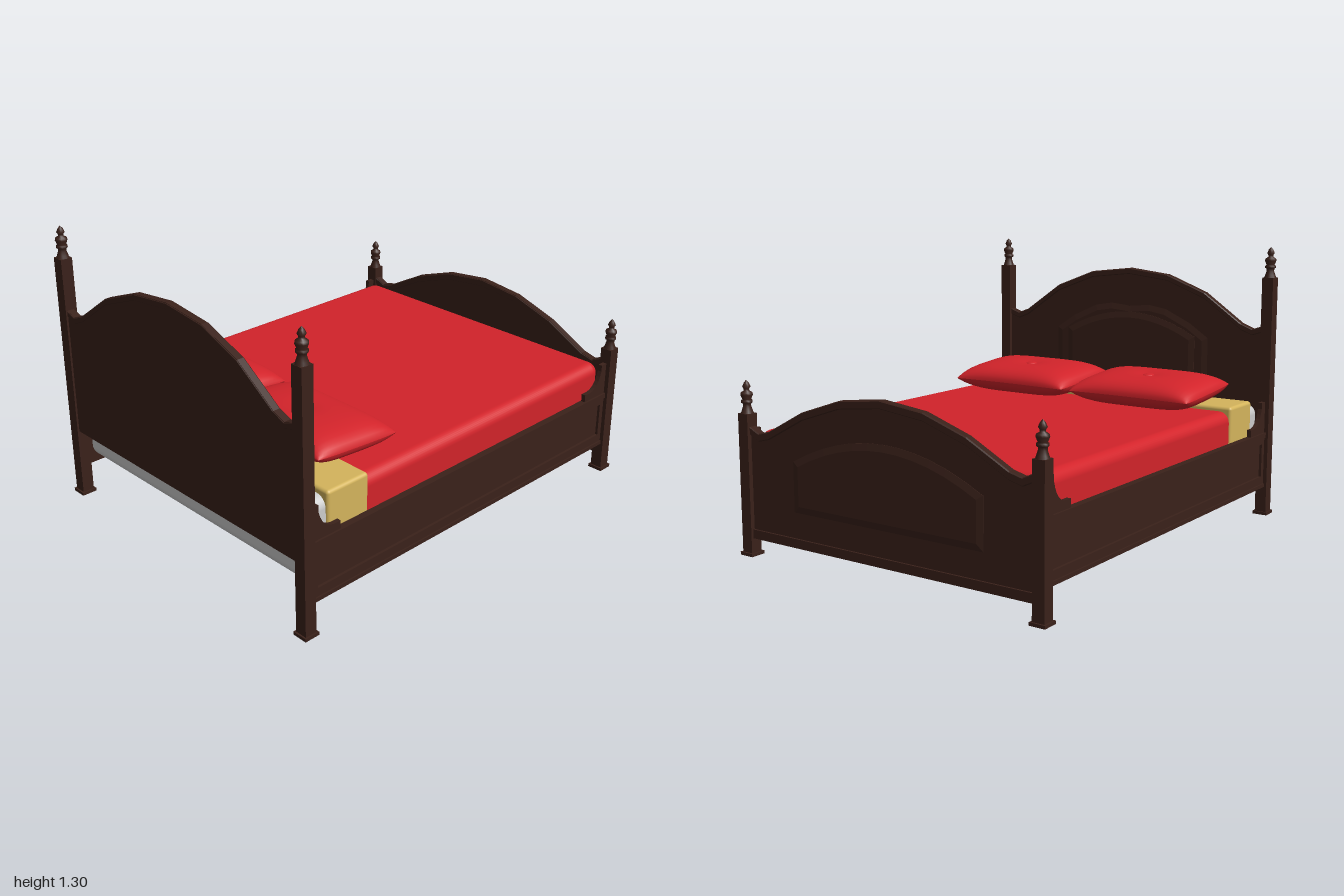
import * as THREE from 'three';
import { RoundedBoxGeometry } from 'three/addons/geometries/RoundedBoxGeometry.js';
import { mergeGeometries } from 'three/addons/utils/BufferGeometryUtils.js';

const mat = (color) => new THREE.MeshStandardMaterial({ color });
const wood = mat(0x3a211a), red = mat(0xd2232a), gold = mat(0xd4b45c), grey = mat(0xcccccc);

function add(parent, name, geometry, material, x = 0, y = 0, z = 0) {
  const mesh = new THREE.Mesh(geometry, material);
  mesh.name = name;
  mesh.position.set(x, y, z);
  parent.add(mesh);
  return mesh;
}

// Box given by its min and max along each axis
function span(parent, name, material, [x0, x1], [y0, y1], [z0, z1], radius = 0) {
  const size = [x1 - x0, y1 - y0, z1 - z0];
  const geo = radius ? new RoundedBoxGeometry(...size, 4, radius) : new THREE.BoxGeometry(...size);
  return add(parent, name, geo, material, (x0 + x1) / 2, (y0 + y1) / 2, (z0 + z1) / 2);
}

// Mirror a half outline (centre outwards) into a full line from left to right
const mirrorLine = (half) => [
  ...half.slice().reverse().map(([x, y]) => new THREE.Vector2(-x, y)),
  ...half.filter(([x]) => x > 0).map(([x, y]) => new THREE.Vector2(x, y)),
];

// Closed outline: arched top line over a straight bottom
function arched(half, bottom) {
  const line = mirrorLine(half), w = half[half.length - 1][0];
  return [...line, new THREE.Vector2(w, bottom), new THREE.Vector2(-w, bottom)];
}

// Shallow arch from the centre height down to the side height
function arch(width, side, top, n = 6) {
  return Array.from({ length: n + 1 }, (_, i) => {
    const t = i / n;
    return [width * t, side + (top - side) * (1 - t * t)];
  });
}

// Head or foot board; local z is the decorated side
function endBoard(name, { top, bottom, opening, openingBottom, panels, capDrop }) {
  const board = new THREE.Group();
  board.name = name;
  const outline = arched(top, bottom);
  const slab = (part, shape, depth, z) =>
    add(board, part, new THREE.ExtrudeGeometry(shape, { depth, bevelEnabled: false }), wood, 0, 0, z);

  slab('backing', new THREE.Shape(outline), 0.014, 0);
  const frame = new THREE.Shape(outline);
  frame.holes.push(new THREE.Path(arched(opening, openingBottom)));
  slab('frame', frame, 0.014, 0.013);

  // Raised panels with sloping borders
  panels.forEach(([half, low, z], i) => {
    const geo = new THREE.ExtrudeGeometry(new THREE.Shape(arched(half, low)),
      { depth: 0.002, bevelThickness: 0.006, bevelSize: 0.03, bevelOffset: -0.005, bevelSegments: 1 });
    add(board, 'raisedPanel' + (i + 1), geo, wood, 0, 0, z);
  });

  // Moulded cap that follows the top line
  const line = mirrorLine(top);
  const lower = line.map((p) => new THREE.Vector2(p.x, p.y - capDrop)).reverse();
  const cap = new THREE.ExtrudeGeometry(new THREE.Shape([...line, ...lower]),
    { depth: 0.028, bevelThickness: 0.005, bevelSize: 0.004, bevelOffset: -0.004, bevelSegments: 1 });
  add(board, 'cap', cap, wood, 0, 0, 0.002);
  return board;
}

// Square post with a foot block and a turned finial
function post(name, height) {
  const g = new THREE.Group();
  g.name = name;
  add(g, 'foot', new THREE.BoxGeometry(0.072, 0.014, 0.072), wood, 0, 0.007, 0);
  add(g, 'shaft', new THREE.BoxGeometry(0.056, height, 0.056), wood, 0, height / 2, 0);
  const profile = [[0.028, 0], [0.024, 0.012], [0.018, 0.03], [0.018, 0.042], [0.025, 0.046], [0.025, 0.056],
    [0.019, 0.06], [0.027, 0.08], [0.025, 0.09], [0.012, 0.098], [0.012, 0.106], [0.018, 0.116],
    [0.011, 0.132], [0, 0.145]].map(([r, y]) => new THREE.Vector2(r, y));
  add(g, 'finial', new THREE.LatheGeometry(profile, 12), wood, 0, height, 0);
  return g;
}

// Side rail, decorated towards +z
function sideRail(name) {
  const g = new THREE.Group();
  g.name = name;
  const X = [-0.94, 0.94];
  span(g, 'railBoard', wood, X, [0.14, 0.41], [0.755, 0.768]);
  span(g, 'topMoulding', wood, X, [0.385, 0.41], [0.755, 0.787]);
  span(g, 'upperBead', wood, X, [0.355, 0.388], [0.755, 0.78]);
  span(g, 'bottomMoulding', wood, X, [0.14, 0.157], [0.755, 0.787]);
  span(g, 'lowerBead', wood, X, [0.155, 0.195], [0.755, 0.78]);
  for (const s of [-1, 1]) {
    span(g, 'railEnd', wood, s < 0 ? [-0.94, -0.91] : [0.91, 0.94], [0.19, 0.36], [0.755, 0.78]);
    // Curved corner bracket above the rail
    const b = new THREE.Shape();
    b.moveTo(0.94, 0.4);
    b.lineTo(0.94, 0.56);
    b.lineTo(0.9, 0.56);
    b.lineTo(0.9, 0.53);
    b.quadraticCurveTo(0.88, 0.45, 0.82, 0.445);
    b.lineTo(0.785, 0.445);
    b.lineTo(0.785, 0.4);
    const geo = new THREE.ExtrudeGeometry(b, { depth: 0.02, bevelEnabled: false, curveSegments: 6 });
    geo.translate(0, 0, -0.01);
    add(g, 'cornerBracket', geo, wood, 0, 0, 0.768).rotation.y = s < 0 ? Math.PI : 0;
  }
  return g;
}

// Plump cushion with a seam around the middle and a buttoned dimple
function pillow(name) {
  const g = new THREE.Group();
  g.name = name;
  const half = new THREE.PlaneGeometry(2, 2, 22, 22).rotateX(-Math.PI / 2);
  const p = half.attributes.position;
  for (let i = 0; i < p.count; i++) {
    const u = Math.sin(p.getX(i) * Math.PI / 2), v = Math.sin(p.getZ(i) * Math.PI / 2);
    const puff = Math.sqrt(Math.max(0, (1 - u ** 4) * (1 - v ** 4)));
    const dimple = 0.014 * Math.exp(-(u * u + 2 * v * v) * 25);
    p.setXYZ(i, u * (0.207 + 0.01 * v * v), 0.07 * puff - dimple, v * (0.322 - 0.007 * u ** 4));
  }
  half.computeVertexNormals();
  add(g, 'cushion', mergeGeometries([half, half.clone().rotateX(Math.PI)]), red);
  add(g, 'button', new THREE.SphereGeometry(0.03, 16, 10).scale(1, 0.35, 1), red, 0, 0.058, 0);
  return g;
}

export function createModel() {
  const bed = new THREE.Group();
  bed.name = 'bed';

  // Posts
  for (const s of [-1, 1]) {
    const head = post('headPost', 1.16), foot = post('footPost', 0.63);
    head.position.set(-0.964, 0, s * 0.77);
    foot.position.set(0.963, 0, s * 0.77);
    bed.add(head, foot);
  }

  // Headboard, with a scooped crest in its opening
  const headboard = endBoard('headboard', {
    top: [[0, 1.175], [0.22, 1.15], [0.43, 1.07], [0.63, 0.93], [0.69, 0.907], [0.745, 0.925]],
    bottom: 0.33, capDrop: 0.03, openingBottom: 0.42,
    opening: [[0, 0.98], [0.06, 0.995], [0.1, 1.035], [0.14, 1.05], [0.2, 1.035], [0.38, 0.95], [0.53, 0.86]],
    panels: [
      [[[0, 0.955], [0.11, 0.965], [0.2, 0.95], [0.33, 0.89], [0.42, 0.83]], 0.48, 0.012],
      [arch(0.35, 0.83, 0.925), 0.52, 0.02],
    ],
  });
  headboard.rotation.y = Math.PI / 2;
  headboard.position.x = -0.983;
  bed.add(headboard);

  // Footboard
  const footboard = endBoard('footboard', {
    top: [[0, 0.765], [0.22, 0.74], [0.43, 0.67], [0.63, 0.565], [0.69, 0.55], [0.745, 0.575]],
    bottom: 0.08, capDrop: 0.035, openingBottom: 0.195,
    opening: arch(0.57, 0.49, 0.64),
    panels: [[arch(0.475, 0.435, 0.56), 0.255, 0.018]],
  });
  footboard.rotation.y = Math.PI / 2;
  footboard.position.x = 0.944;
  bed.add(footboard);
  span(bed, 'footRail', wood, [0.944, 0.98], [0.08, 0.12], [-0.745, 0.745]);

  // Side rails and slats
  const leftRail = sideRail('frontRail'), backRail = sideRail('backRail');
  backRail.rotation.y = Math.PI;
  bed.add(leftRail, backRail);
  for (const x of [-0.75, -0.235, 0.285, 0.745])
    span(bed, 'slat', wood, [x - 0.095, x + 0.095], [0.175, 0.2], [-0.757, 0.757]);

  // Bedding
  span(bed, 'mattress', grey, [-0.942, -0.7], [0.202, 0.55], [-0.742, 0.742], 0.05);
  span(bed, 'blanket', red, [-0.82, 0.937], [0.2, 0.555], [-0.745, 0.745], 0.05);
  span(bed, 'foldedSheet', gold, [-0.83, -0.61], [0.23, 0.578], [-0.755, 0.755], 0.015);
  for (const s of [-1, 1]) {
    const p = pillow('pillow');
    p.position.set(-0.57, 0.64, s * 0.34);
    p.rotation.z = -0.08;
    bed.add(p);
  }
  return bed;
}
